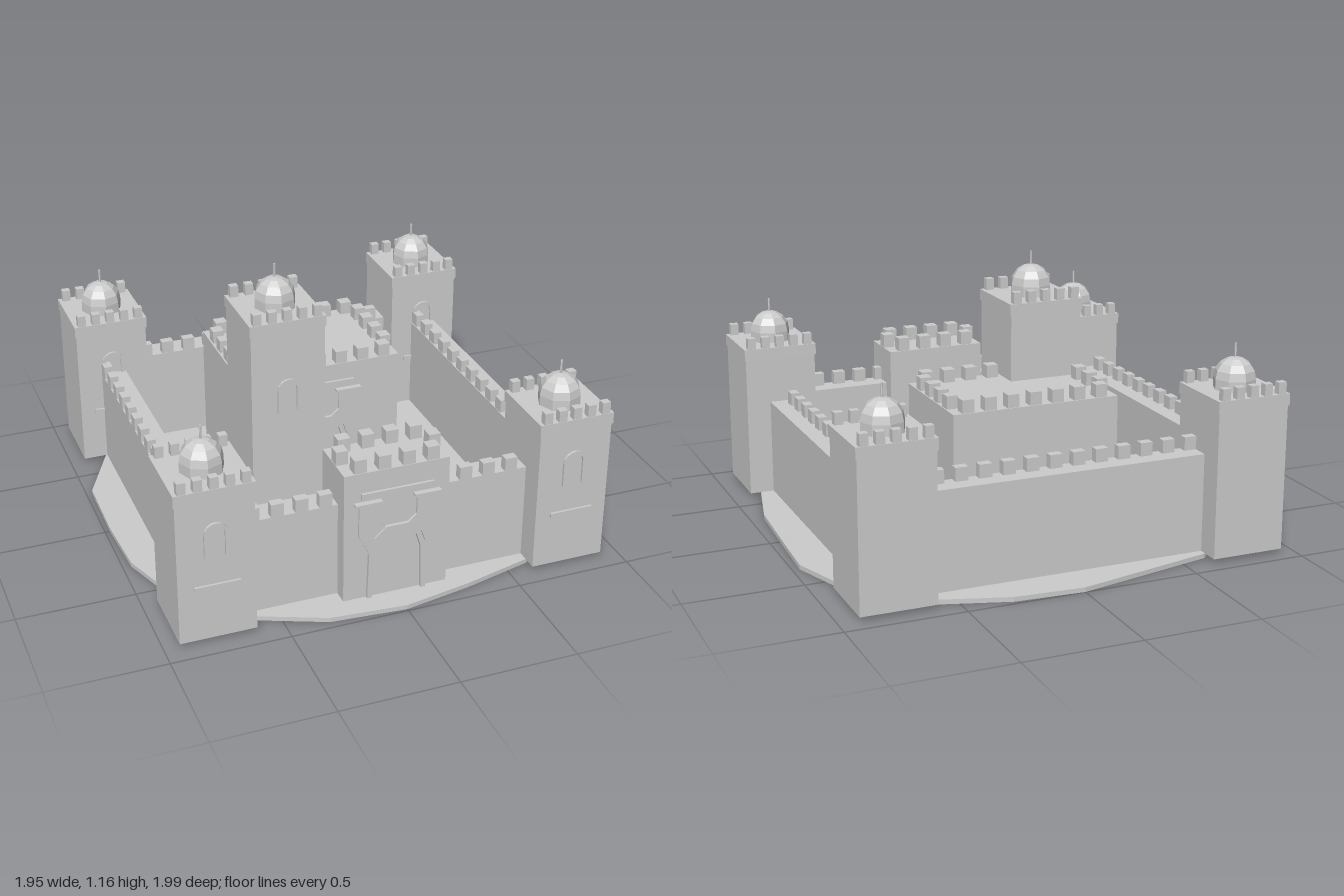
import * as THREE from 'three';

const stone = new THREE.MeshStandardMaterial({ color: 0xcccccc, flatShading: true, side: THREE.DoubleSide });
stone.name = 'pale stone';

function add(parent, name, geometry, x = 0, y = 0, z = 0) {
  const mesh = new THREE.Mesh(geometry, stone);
  mesh.name = name;
  mesh.position.set(x, y, z);
  parent.add(mesh);
  return mesh;
}

// Box given by its lower and upper limits
function block(parent, name, x0, x1, y0, y1, z0, z1, openBottom = false) {
  const g = new THREE.BoxGeometry(x1 - x0, y1 - y0, z1 - z0);
  if (openBottom) {
    const index = Array.from(g.index.array);
    index.splice(18, 6);
    g.setIndex(index);
    g.clearGroups();
  }
  return add(parent, name, g, (x0 + x1) / 2, (y0 + y1) / 2, (z0 + z1) / 2);
}

function merlon(parent, x, y, z, w, h, d) {
  block(parent, 'merlon', x - w / 2, x + w / 2, y, y + h, z - d / 2, z + d / 2);
}

function plate(points, depth) {
  const shape = new THREE.Shape(points.map(([x, y]) => new THREE.Vector2(x, y)));
  return new THREE.ExtrudeGeometry(shape, { depth, bevelEnabled: false });
}

// Inverted U frame with a round head, standing on y = 0
function archGeometry(width, height, band, depth, steps = 8) {
  const outer = [], inner = [], r = width / 2;
  for (let i = 0; i <= steps; i++) {
    const a = Math.PI * (1 - i / steps), c = Math.cos(a), s = Math.sin(a);
    outer.push([r * c, height - r + r * s]);
    inner.push([(r - band) * c, height - r + (r - band) * s]);
  }
  return plate([[-r, 0], ...outer, [r, 0], [r - band, 0], ...inner.reverse(), [band - r, 0]], depth);
}

// Square tower with cornice, battlements on two sides, dome and front window
function tower(parent, name, x, z, half, top, windowY, sill) {
  const g = new THREE.Group();
  g.name = name;
  g.position.set(x, 0, z);
  parent.add(g);
  block(g, 'towerBody', -half, half, 0.02, top, -half, half, true);
  const e = half + 0.005;
  block(g, 'cornice', -e, e, top - 0.05, top, -e, e);
  for (const side of [-1, 1])
    for (let i = -2; i <= 2; i++)
      merlon(g, i * (half - 0.03) / 2, top, side * (half - 0.013), 0.036, 0.05, 0.032);

  const profile = [[0.09, 0], [0.09, 0.045]];
  for (let i = 1; i <= 4; i++) {
    const a = i * Math.PI / 8;
    profile.push([0.09 * Math.cos(a), 0.045 + 0.088 * Math.sin(a)]);
  }
  add(g, 'dome', new THREE.LatheGeometry(profile.map(p => new THREE.Vector2(Math.max(p[0], 0), p[1])), 8), 0, top, 0);
  add(g, 'spire', new THREE.CylinderGeometry(0.005, 0.005, 0.07, 6), 0, top + 0.155, 0);

  add(g, 'windowArch', archGeometry(0.1, 0.155, 0.014, 0.011), 0, windowY, half);
  if (sill) block(g, 'windowSill', -0.095, 0.095, 0.25, 0.27, half, half + 0.01);
}

// Portal: lintel, ledges, brackets and an angular arch
function portal(parent, x, y, z) {
  const g = new THREE.Group();
  g.name = 'portal';
  g.position.set(x, y, z);
  parent.add(g);
  block(g, 'lintel', -0.155, 0.155, 0.487, 0.515, 0, 0.012);
  for (const s of [-1, 1]) {
    const ledge = [s * 0.07, s * 0.185].sort((a, b) => a - b);
    block(g, 'ledge', ledge[0], ledge[1], 0.465, 0.475, 0, 0.025);
    const pts = [[0.085, 0.465], [0.165, 0.465], [0.165, 0.32], [0.125, 0.24], [0.108, 0.29], [0.05, 0.345], [0.085, 0.375]];
    add(g, 'bracket', plate(pts.map(p => [s * p[0], p[1]]), 0.01));
  }
  const outer = [[0.128, 0.02], [0.122, 0.23], [0.1, 0.3], [0.05, 0.345]];
  const inner = [[0.108, 0.02], [0.102, 0.225], [0.083, 0.285], [0.042, 0.325]];
  const flip = list => list.map(([px, py]) => [-px, py]);
  add(g, 'gateArch', plate([...outer, ...flip(outer).reverse(), ...flip(inner), ...[...inner].reverse()], 0.015));
}

export function createModel() {
  const model = new THREE.Group();
  model.name = 'castle';

  // Irregular ground slab
  const rim = [[0, -1], [0.3, -0.98], [0.6, -0.885], [0.76, -0.75], [0.875, -0.61], [0.97, -0.33], [0.955, 0],
    [0.94, 0.3], [0.87, 0.6], [0.74, 0.75], [0.6, 0.857], [0.295, 0.935], [0, 0.99], [-0.325, 0.963],
    [-0.615, 0.84], [-0.75, 0.74], [-0.86, 0.6], [-0.965, 0.295], [-0.98, 0], [-0.975, -0.33],
    [-0.84, -0.61], [-0.74, -0.75], [-0.615, -0.863], [-0.29, -0.935]];
  add(model, 'ground', plate(rim.map(([x, z]) => [x, -z]), 0.02)).rotation.x = -Math.PI / 2;

  // Corner towers
  for (const x of [-0.777, 0.757])
    for (const z of [-0.777, 0.76]) tower(model, 'cornerTower', x, z, 0.16, 0.695, 0.393, true);

  // Curtain walls
  const top = 0.443;
  block(model, 'backWall', -0.62, 0.6, 0.02, top, -0.83, -0.72);
  block(model, 'frontWall', -0.62, 0.6, 0.02, top, 0.7, 0.81);
  block(model, 'rightWall', -0.83, -0.72, 0.02, top, -0.62, 0.6);
  block(model, 'leftWall', 0.7, 0.81, 0.02, top, -0.62, 0.6);
  for (let i = 0; i < 12; i++) {
    const p = -0.59 + i * 0.1016;
    merlon(model, p, top, -0.74, 0.054, 0.057, 0.038);
    if (p < -0.23 || p > 0.2) merlon(model, p, top, 0.792, 0.054, 0.057, 0.038);
    merlon(model, -0.811, top, p, 0.038, 0.057, 0.054);
    merlon(model, 0.722, top, p, 0.038, 0.057, 0.054);
  }

  // Gatehouse
  const gate = new THREE.Group();
  gate.name = 'gatehouse';
  model.add(gate);
  block(gate, 'gatehouseBody', -0.235, 0.218, 0.02, 0.605, 0.64, 0.875);
  for (let i = 0; i < 4; i++)
    for (const z of [0.669, 0.847]) merlon(gate, -0.164 + i * 0.104, 0.605, z, 0.053, 0.06, 0.05);
  for (const x of [-0.208, 0.191]) merlon(gate, x, 0.605, 0.758, 0.05, 0.06, 0.053);
  portal(gate, -0.008, 0, 0.875);

  // Keep with its battlements
  const keep = new THREE.Group();
  keep.name = 'keep';
  model.add(keep);
  block(keep, 'keepBody', -0.38, 0.36, 0.02, 0.633, -0.505, 0.012);
  for (let i = 0; i < 7; i++) {
    const x = -0.307 + i * 0.1;
    merlon(keep, x, 0.633, -0.475, 0.052, 0.056, 0.05);
    if (x > -0.03) merlon(keep, x, 0.633, -0.016, 0.052, 0.056, 0.05);
  }
  for (let i = 0; i < 4; i++) {
    const z = -0.395 + i * 0.1;
    if (i < 3) merlon(keep, -0.348, 0.633, z, 0.05, 0.056, 0.052);
    merlon(keep, 0.33, 0.633, z, 0.05, 0.056, 0.052);
  }
  portal(keep, -0.008, 0.04, 0.012);
  add(keep, 'sideWindowArch', archGeometry(0.1, 0.155, 0.014, 0.011), 0.36, 0.335, -0.25).rotation.y = Math.PI / 2;

  // Tall central tower
  tower(model, 'keepTower', -0.22, 0.032, 0.164, 0.973, 0.55, false);

  return model;
}
